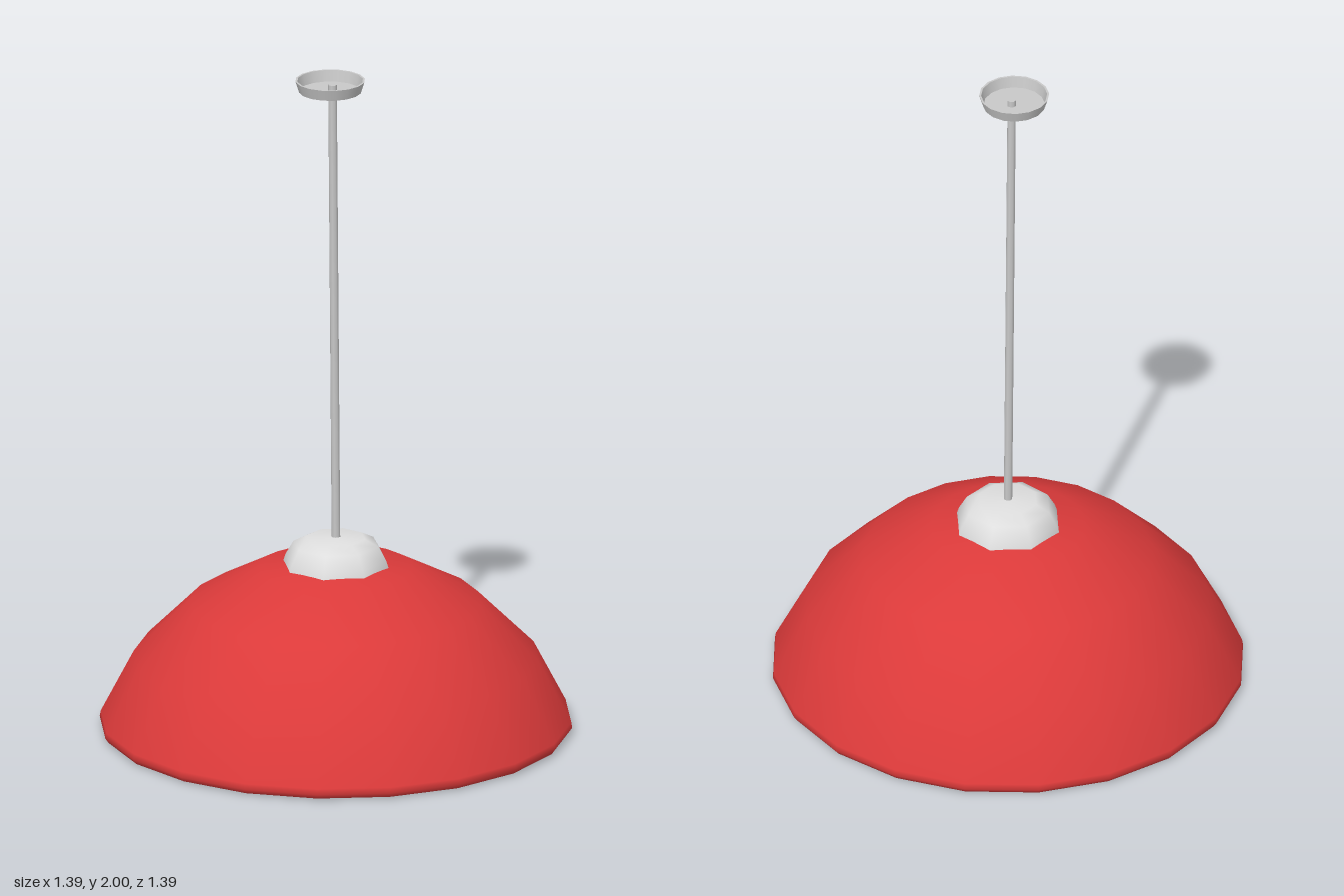
import * as THREE from 'three';

export function createModel() {
  const model = new THREE.Group();
  model.name = 'pendantLamp';

  const mat = (name, color, side = THREE.FrontSide) => {
    const m = new THREE.MeshStandardMaterial({ color, side });
    m.name = name;
    return m;
  };
  const red = mat('red enamel', 0xdb3a3a);
  const white = mat('white', 0xdedede);
  const grey = mat('grey metal', 0xc8c8c8, THREE.DoubleSide);
  const glass = mat('yellow glass', 0xe0d980);

  // Revolves [radius, height] points; rising profiles face outward, falling ones inward
  const lathe = (name, material, sides, profile, parent = model) => {
    const points = profile.map(([r, y]) => new THREE.Vector2(r, y));
    const mesh = new THREE.Mesh(new THREE.LatheGeometry(points, sides), material);
    mesh.name = name;
    parent.add(mesh);
    return mesh;
  };

  // Shade: red shell with a rolled rim, and a white lining
  lathe('shadeOuter', red, 20, [
    [0.672, 0.025], [0.672, 0.006], [0.685, 0.004], [0.695, 0.018], [0.692, 0.035],
    [0.595, 0.222], [0.428, 0.388], [0.225, 0.496], [0, 0.525],
  ]);
  lathe('shadeLining', white, 20, [
    [0, 0.505], [0.215, 0.477], [0.413, 0.37], [0.576, 0.21], [0.672, 0.025],
  ]);

  // Cap on top of the shade
  lathe('shadeCap', white, 8, [
    [0.16, 0.5], [0.152, 0.525], [0.128, 0.567], [0.088, 0.587], [0, 0.59],
  ]);

  // Socket and bulb inside the shade
  lathe('socket', white, 8, [[0.08, 0.3], [0.112, 0.36], [0.118, 0.5]]);
  lathe('socketBase', white, 8, [[0, 0.3], [0.08, 0.3]]);
  lathe('bulb', glass, 8, [
    [0, 0], [0.085, 0.022], [0.135, 0.085], [0.14, 0.145],
    [0.11, 0.215], [0.055, 0.265], [0.052, 0.32],
  ]);

  // Slightly leaning rod
  const bottom = new THREE.Vector3(0, 0.57, 0);
  const top = new THREE.Vector3(-0.012, 1.985, 0);
  const rod = new THREE.Mesh(
    new THREE.TubeGeometry(new THREE.LineCurve3(bottom, top), 1, 0.013, 8), grey);
  rod.name = 'rod';
  model.add(rod);
  const rodTip = new THREE.Mesh(new THREE.CircleGeometry(0.013, 8), grey);
  rodTip.name = 'rodTip';
  rodTip.rotation.x = -Math.PI / 2;
  rodTip.position.copy(top);
  model.add(rodTip);

  // Ceiling canopy: a shallow cup, open at the top
  const canopy = new THREE.Group();
  canopy.name = 'canopy';
  canopy.position.x = -0.02;
  lathe('canopyFloor', grey, 16, [[0, 1.966], [0.092, 1.966]], canopy);
  lathe('canopyWall', grey, 16, [[0.092, 1.966], [0.103, 2]], canopy);
  lathe('canopyRim', grey, 16, [[0.103, 2], [0.097, 2]], canopy);
  lathe('canopyInside', grey, 16, [[0.097, 2], [0.09, 1.967]], canopy);
  model.add(canopy);

  return model;
}
